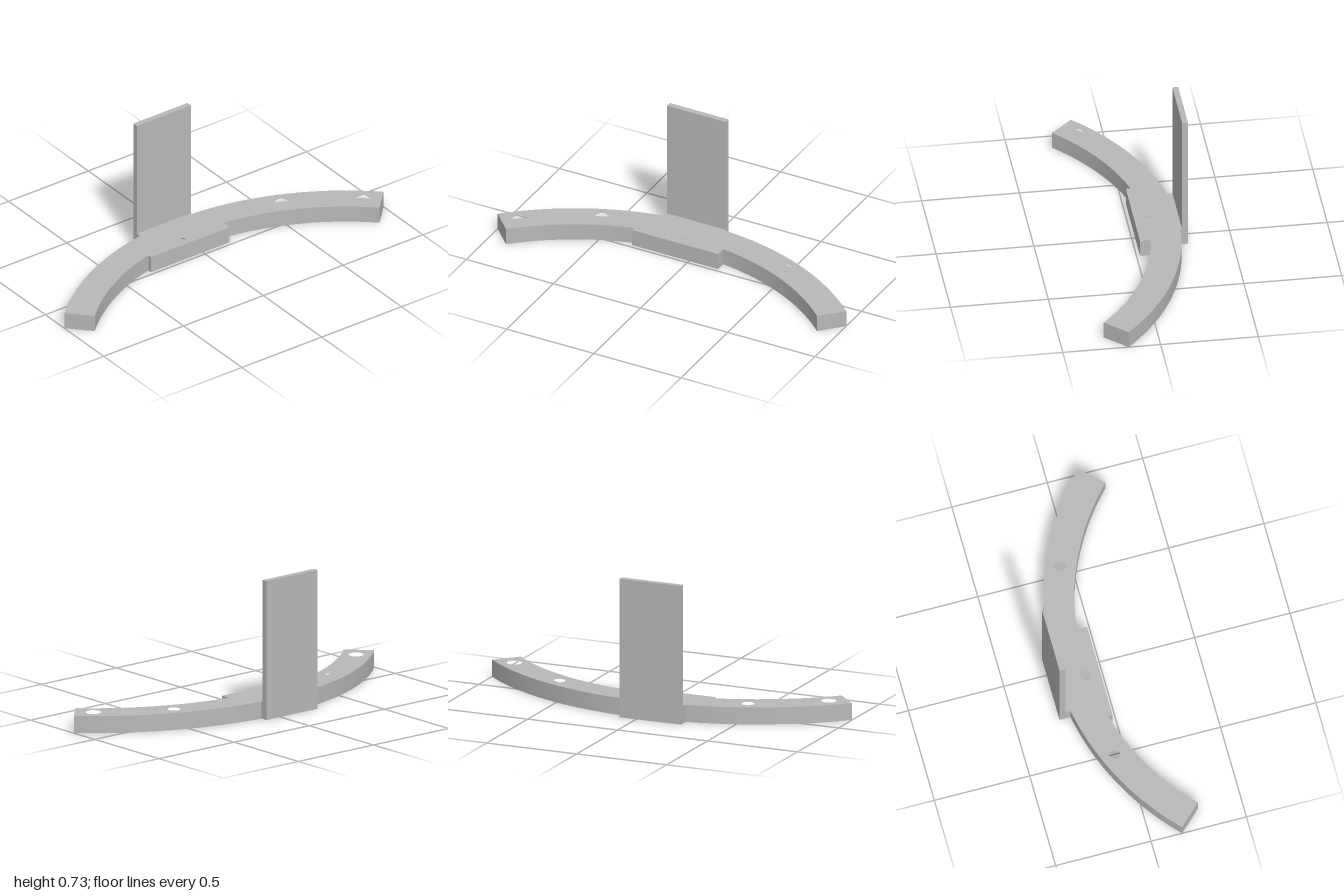
import * as THREE from 'three';
import { toCreasedNormals } from 'three/addons/utils/BufferGeometryUtils.js';

const CX = 1.206, R_OUT = 1.445, R_IN = 1.289;   // arc centre and radii
const BASE_H = 0.089, STEP_Y = 0.045, TOP_Y = 0.727;
const PAD = { x: -0.018, z0: -0.168, z1: 0.325 };
const PLATE = { x0: -0.275, x1: -0.245, z0: -0.091, z1: 0.248 };

// Outline seen from above, drawn in x and -z
function baseOutline() {
  const shape = new THREE.Shape();
  const end = Math.asin(1 / R_OUT);
  const angle = (r, z) => Math.PI + Math.asin(z / r);
  // outer arc, interrupted by the foot of the upright plate
  shape.absarc(CX, 0, R_OUT, Math.PI + end, angle(R_OUT, PLATE.z1), true);
  shape.lineTo(PLATE.x0, -PLATE.z1);
  shape.lineTo(PLATE.x0, -PLATE.z0);
  shape.absarc(CX, 0, R_OUT, angle(R_OUT, PLATE.z0), Math.PI - end, true);
  // inner arc, interrupted by the straight pad
  shape.absarc(CX, 0, R_IN, Math.PI - end, angle(R_IN, PAD.z0), false);
  shape.lineTo(PAD.x, -PAD.z0);
  shape.lineTo(PAD.x, -PAD.z1);
  shape.absarc(CX, 0, R_IN, angle(R_IN, PAD.z1), Math.PI + end, false);
  return shape;
}

// One horizontal slab of the base, with holes given as [x, z, radius]
function slab(y0, y1, holes) {
  const shape = baseOutline();
  for (const [x, z, r] of holes) {
    const hole = new THREE.Path();
    hole.absarc(x, -z, r, 0, Math.PI * 2, true);
    shape.holes.push(hole);
  }
  const geo = new THREE.ExtrudeGeometry(shape, { depth: y1 - y0, bevelEnabled: false, curveSegments: 40 });
  geo.rotateX(-Math.PI / 2).translate(0, y0, 0);
  return toCreasedNormals(geo, 0.5);
}

export function createModel() {
  const group = new THREE.Group();
  const grey = new THREE.MeshStandardMaterial({ color: 0xb8b8b8 });
  grey.name = 'grey';
  const add = (name, geo) => {
    const mesh = new THREE.Mesh(geo, grey);
    mesh.name = name;
    group.add(mesh);
    return mesh;
  };

  // Curved base: counterbored centre hole, two through holes, two blind end holes
  const through = [[-0.062, -0.525, 0.032], [-0.062, 0.525, 0.032]];
  const blind = [[0.158, -0.874, 0.039], [0.158, 0.874, 0.039]];
  add('lowerBase', slab(0, STEP_Y, [...through, [-0.087, 0.077, 0.055]]));
  add('upperBase', slab(STEP_Y, BASE_H, [...through, ...blind, [-0.087, 0.077, 0.032]]));

  // Upright plate standing on its foot
  const plate = add('uprightPlate', new THREE.BoxGeometry(
    PLATE.x1 - PLATE.x0, TOP_Y - BASE_H, PLATE.z1 - PLATE.z0));
  plate.position.set((PLATE.x0 + PLATE.x1) / 2, (TOP_Y + BASE_H) / 2, (PLATE.z0 + PLATE.z1) / 2);

  return group;
}
